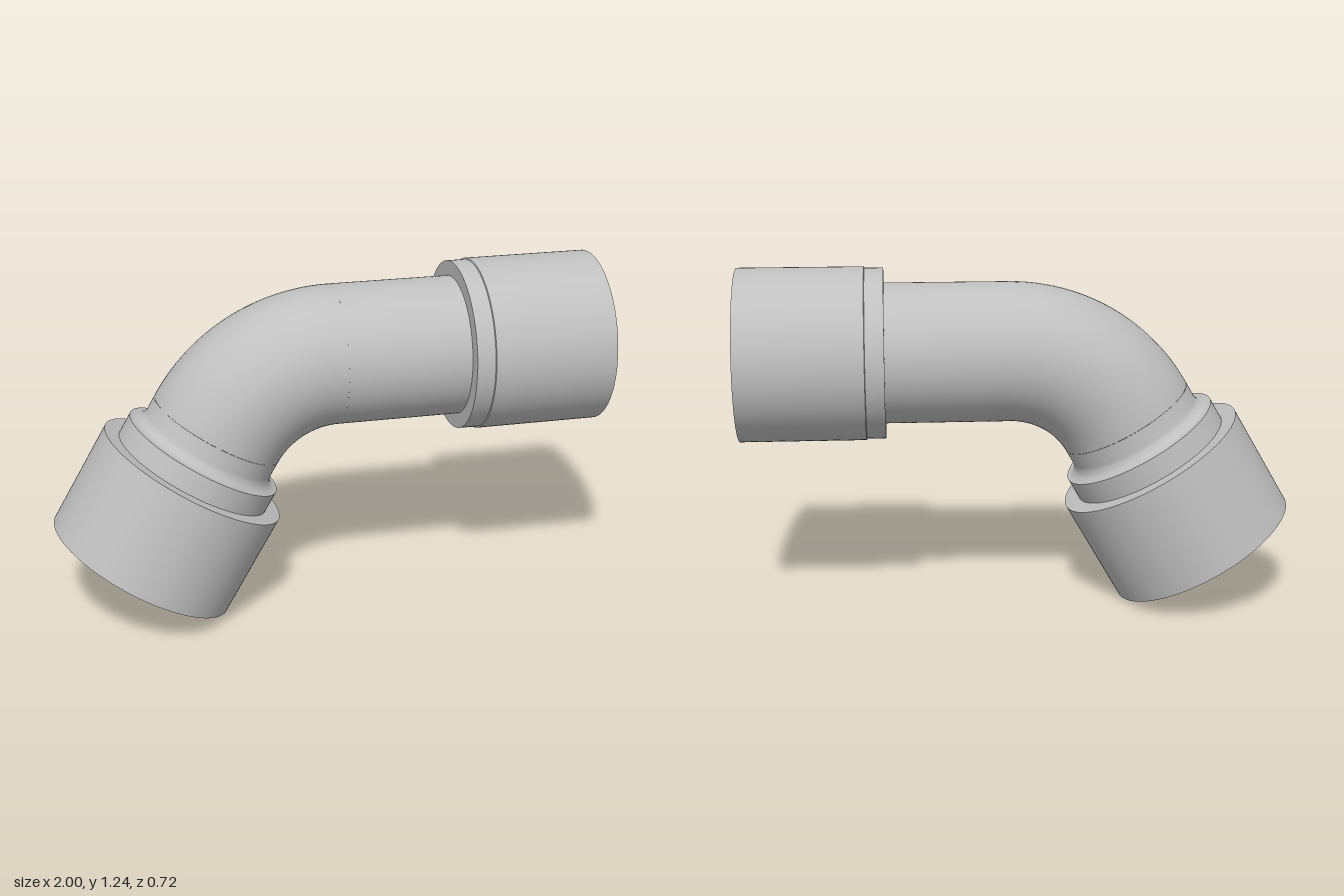
import * as THREE from 'three';
import { toCreasedNormals } from 'three/addons/utils/BufferGeometryUtils.js';

export function createModel() {
  const group = new THREE.Group();
  const grey = new THREE.MeshStandardMaterial({ color: 0xc0c0c0, side: THREE.DoubleSide });
  grey.name = 'plain grey';

  const OUTER = 0.253, BORE = 0.21;      // pipe radii
  const AXIS_Y = 0.932, BEND_X = 0.03, BEND_R = 0.495;

  function add(name, geometry, x, y) {
    const mesh = new THREE.Mesh(geometry, grey);
    mesh.name = name;
    mesh.position.set(x, y, 0);
    group.add(mesh);
  }

  // Turned part from [radius, distance along axis] points, tilted about z
  function turned(profile, tilt) {
    const pts = profile.map(([r, t]) => new THREE.Vector2(r, t));
    return toCreasedNormals(new THREE.LatheGeometry(pts, 96), 0.5).rotateZ(tilt);
  }

  // Sixty degree bend, outside and bore
  for (const [name, r] of [['bendOutside', OUTER], ['bendBore', BORE]]) {
    const bend = new THREE.TorusGeometry(BEND_R, r, 64, 40, Math.PI / 3).rotateZ(Math.PI / 2);
    add(name, bend, BEND_X, AXIS_Y - BEND_R);
  }

  // Straight pipe with a chamfered open end, just inside the sleeve
  add('straightPipe', turned([
    [OUTER, BEND_X], [OUTER, 0.945], [0.237, 0.96], [BORE, 0.96], [BORE, BEND_X],
  ], -Math.PI / 2), 0, AXIS_Y);

  // Sleeve around the straight end, with a tapered groove inside its lip
  add('sleeve', turned([
    [OUTER, 0.478], [0.307, 0.478], [0.307, 0.545], [0.312, 0.547], [0.312, 1],
    [0.296, 1], [0.273, 0.88], [OUTER, 0.88],
  ], -Math.PI / 2), 0, AXIS_Y);

  // Lower socket: wide open cup, shoulder ring and a rounded neck into the bend
  const neck = [];
  for (let i = 0; i <= 8; i++) {
    const a = (i / 8) * Math.PI / 2;
    neck.push([0.293 - 0.04 * Math.sin(a), 0.523 - 0.04 * Math.cos(a)]);
  }
  add('lowerSocket', turned([
    [BORE, 0.582], [BORE, 0.36], [0.343, 0.36], [0.343, 0], [0.358, 0], [0.358, 0.4],
    [0.3, 0.4], [0.3, 0.483], ...neck, [OUTER, 0.582],
  ], -Math.PI / 6), -0.69, 0.18);

  return group;
}
